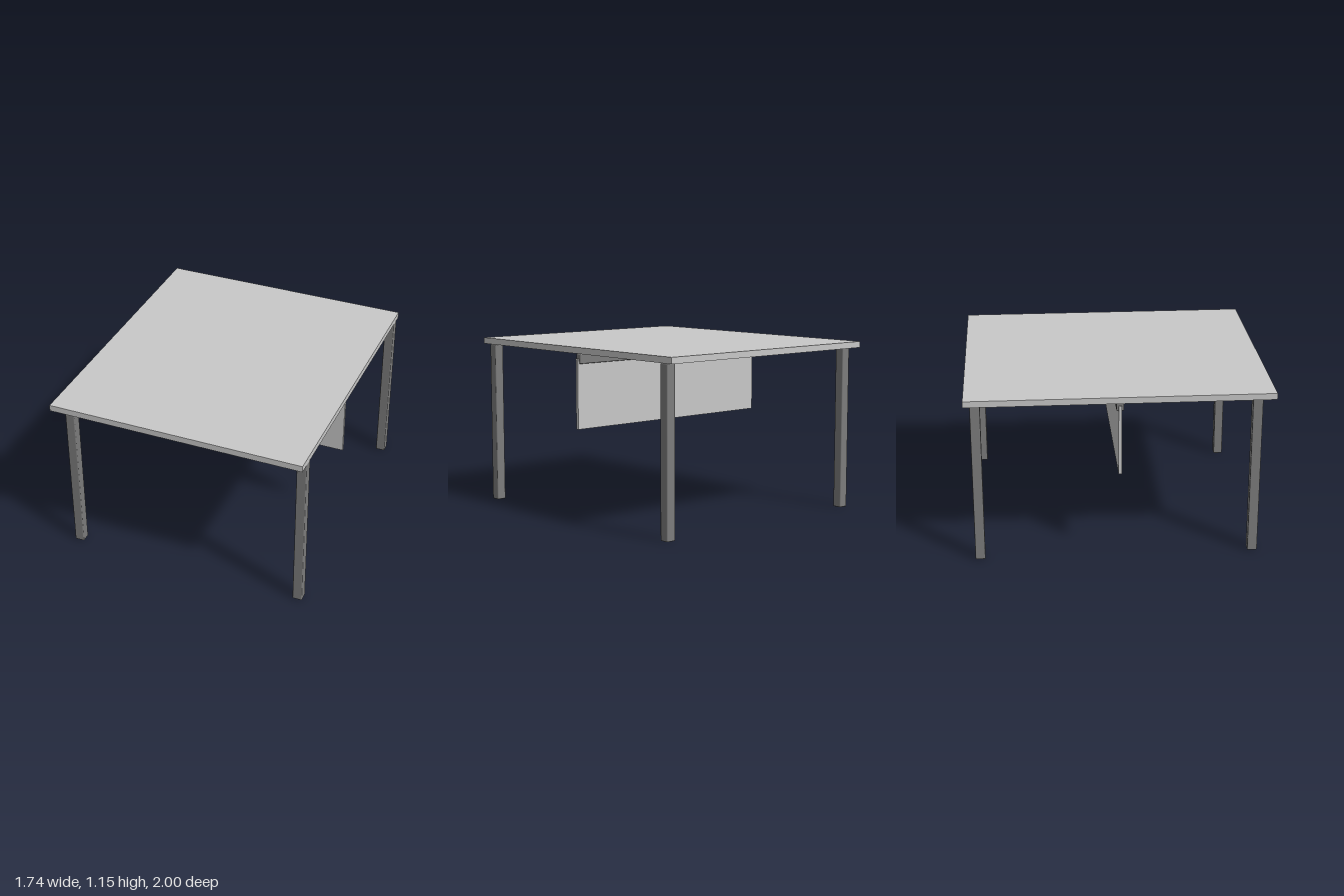
import * as THREE from 'three';
import { RoundedBoxGeometry } from 'three/addons/geometries/RoundedBoxGeometry.js';

export function createModel() {
  const model = new THREE.Group();
  const lightGrey = new THREE.MeshStandardMaterial({ name: 'light grey board', color: 0xc8c8c8 });
  const darkGrey = new THREE.MeshStandardMaterial({ name: 'dark grey metal', color: 0x7c7c7c });

  // Add a box by its extents; a radius softens the edges
  function addBox(name, material, [x0, x1], [y0, y1], [z0, z1], radius = 0) {
    const size = [x1 - x0, y1 - y0, z1 - z0];
    const geometry = radius
      ? new RoundedBoxGeometry(...size, 2, radius)
      : new THREE.BoxGeometry(...size);
    const mesh = new THREE.Mesh(geometry, material);
    mesh.name = name;
    mesh.position.set((x0 + x1) / 2, (y0 + y1) / 2, (z0 + z1) / 2);
    model.add(mesh);
  }

  // Table top
  addBox('tableTop', lightGrey, [-0.87, 0.87], [1.11, 1.152], [-1, 1]);

  // Four square legs, set slightly off centre under the top
  const half = 0.033;
  for (const [side, x] of [['Right', -0.772], ['Left', 0.837]]) {
    for (const [end, z] of [['front', 0.89], ['back', -0.927]]) {
      addBox(`${end}${side}Leg`, darkGrey, [x - half, x + half], [0, 1.11], [z - half, z + half], 0.007);
    }
  }

  // Rail under the top with the hanging modesty panel
  addBox('rail', darkGrey, [-0.804, 0.804], [1.034, 1.1], [-0.025, 0.025], 0.007);
  addBox('modestyPanel', lightGrey, [-0.816, 0.816], [0.596, 1.07], [-0.011, 0.011]);

  return model;
}
